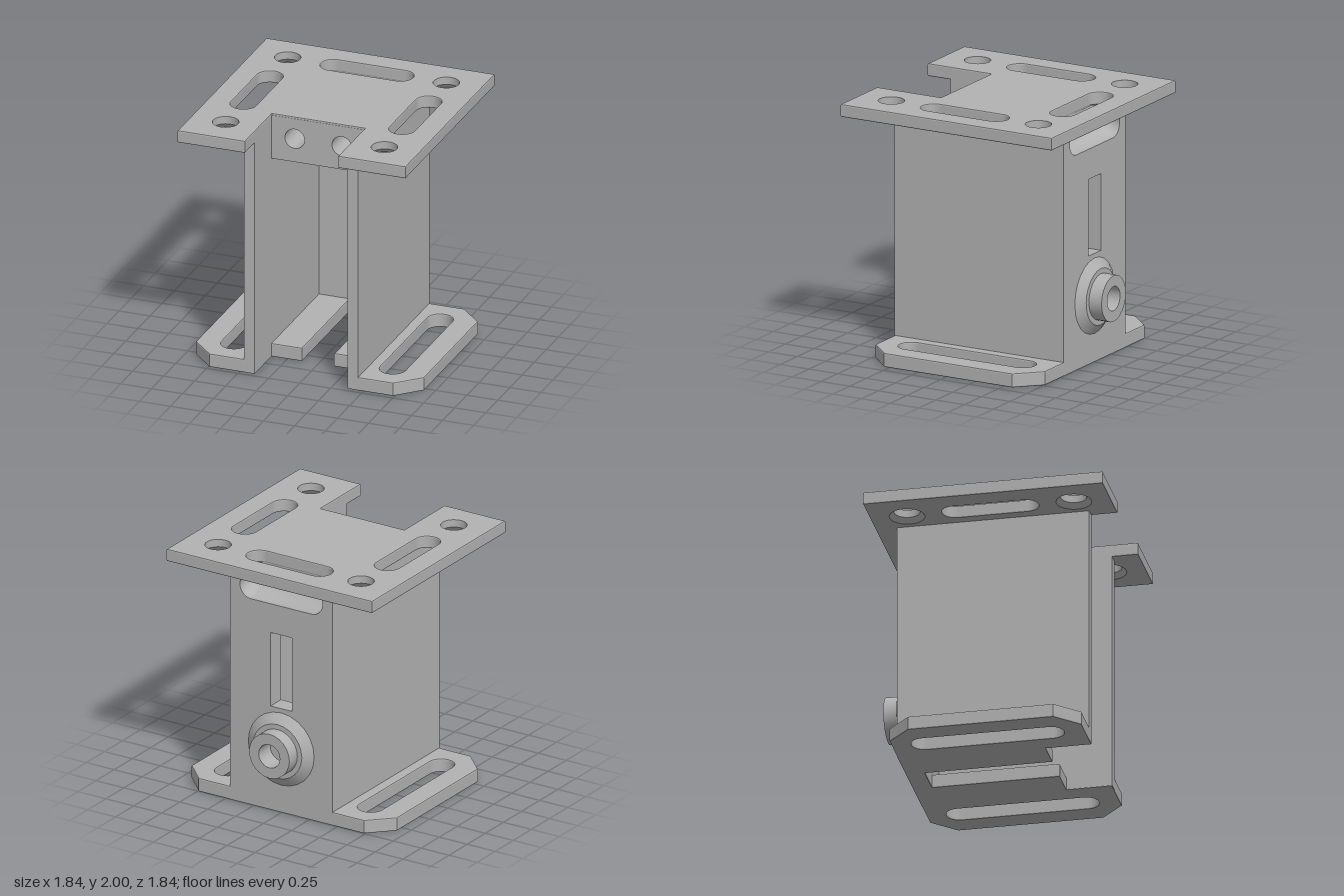
import * as THREE from 'three';
import { toCreasedNormals } from 'three/addons/utils/BufferGeometryUtils.js';
import { ParametricGeometry } from 'three/addons/geometries/ParametricGeometry.js';

const grey = new THREE.MeshStandardMaterial({ color: 0xb2b2b2, side: THREE.DoubleSide });

function add(group, name, geometry) {
  const mesh = new THREE.Mesh(geometry, grey);
  mesh.name = name;
  group.add(mesh);
  return mesh;
}

// Box from its minimum and maximum corners
function box(x0, x1, y0, y1, z0, z1) {
  return new THREE.BoxGeometry(x1 - x0, y1 - y0, z1 - z0)
    .translate((x0 + x1) / 2, (y0 + y1) / 2, (z0 + z1) / 2);
}

const polygon = (pts) => new THREE.Shape(pts.map(([x, y]) => new THREE.Vector2(x, y)));

function circle(x, y, r) {
  return new THREE.Path().absarc(x, y, r, 0, Math.PI * 2, true);
}

// Slot with round ends; hx and hy are its half sizes
function slot(x, y, hx, hy) {
  const r = Math.min(hx, hy), p = new THREE.Path();
  if (hx > hy) {
    p.absarc(x + hx - r, y, r, -Math.PI / 2, Math.PI / 2, false);
    p.absarc(x - hx + r, y, r, Math.PI / 2, Math.PI * 1.5, false);
  } else {
    p.absarc(x, y + hy - r, r, 0, Math.PI, false);
    p.absarc(x, y - hy + r, r, Math.PI, Math.PI * 2, false);
  }
  return p.closePath();
}

// Horizontal plate drawn in x and z, with slightly eased edges
function plate(shape, y0, y1) {
  const b = 0.01;
  return new THREE.ExtrudeGeometry(shape, {
    depth: y1 - y0 - 2 * b, bevelSize: b, bevelThickness: b, bevelOffset: -b, bevelSegments: 2, curveSegments: 12,
  }).rotateX(Math.PI / 2).translate(0, y1 - b, 0);
}

// Upright plate drawn in x and y
function upright(shape, z0, z1) {
  return new THREE.ExtrudeGeometry(shape, { depth: z1 - z0, bevelEnabled: false, curveSegments: 16 })
    .translate(0, 0, z0);
}

export function createModel() {
  const model = new THREE.Group();
  model.name = 'mountingBracket';

  // Top plate with front notch, slots and corner holes
  const top = polygon([[-0.92, -0.92], [0.92, -0.92], [0.92, 0.92], [0.375, 0.92],
    [0.375, 0.365], [-0.375, 0.365], [-0.375, 0.92], [-0.92, 0.92]]);
  top.holes.push(slot(0, -0.64, 0.37, 0.1));
  for (const s of [-1, 1]) {
    top.holes.push(slot(s * 0.64, 0, 0.1, 0.37));
    for (const t of [-1, 1]) top.holes.push(circle(s * 0.64, t * 0.64, 0.135));
  }
  add(model, 'topPlate', plate(top, 1.9, 2));

  // Screw holes, countersunk from below
  const sink = [[0.15, 1.9], [0.135, 1.9], [0.1, 1.94], [0.1, 2], [0.15, 2]].map(([x, y]) => new THREE.Vector2(x, y));
  for (const s of [-1, 1]) for (const t of [-1, 1]) {
    add(model, 'screwHole', toCreasedNormals(new THREE.LatheGeometry(sink, 32), 0.5))
      .position.set(s * 0.64, 0, t * 0.64);
  }

  // Bottom flange and floor tabs in one outline
  const half = [[0.13, -0.61], [0.13, 0.37], [0.375, 0.37], [0.375, 0.72], [0.74, 0.72],
    [0.92, 0.54], [0.92, -0.575], [0.74, -0.755]];
  const base = polygon([...half, ...half.map(([x, z]) => [-x, z]).reverse()]);
  for (const s of [-1, 1]) base.holes.push(slot(s * 0.64, -0.02, 0.1, 0.585));
  add(model, 'bottomFlange', plate(base, 0, 0.11));

  // Side walls
  for (const s of [-1, 1]) {
    add(model, 'sideWall', box(-0.0425, 0.0425, 0.005, 1.91, -0.755, 0.72)).position.x = s * 0.4175;
  }

  // Back wall with window, and a thin outer skin that also holds the tunnel mouth
  const windowHole = () => polygon([[-0.095, 0.85], [0.095, 0.85], [0.095, 1.45], [-0.095, 1.45]]);
  const back = polygon([[-0.38, 0.005], [0.38, 0.005], [0.38, 1.68], [-0.38, 1.68]]);
  back.holes.push(windowHole());
  add(model, 'backWall', upright(back, -0.746, -0.61));
  const skin = polygon([[-0.38, 0.005], [0.38, 0.005], [0.38, 1.905], [-0.38, 1.905]]);
  skin.holes.push(windowHole(), slot(0, 1.785, 0.37, 0.1));
  add(model, 'backSkin', upright(skin, -0.755, -0.746));

  // Curved tunnel from the top slot to the back
  add(model, 'tieTunnel', new ParametricGeometry((u, v, p) => {
    const a = u * Math.PI * 2, t = v * Math.PI / 2;
    const c = Math.cos(a), x = 0.1 * c + 0.27 * Math.sign(Math.abs(c) < 1e-6 ? 1 : c);
    const r = 0.115 + 0.1 * Math.sin(a);
    p.set(x, 1.9 - r * Math.cos(t), -0.755 + r * Math.sin(t));
  }, 40, 12));

  // Upper block with two blind holes in its front
  add(model, 'blockLedge', box(-0.38, 0.38, 1.63, 1.68, -0.746, -0.53));
  add(model, 'blockCore', box(-0.38, 0.38, 1.63, 1.905, -0.535, 0));
  const front = polygon([[-0.376, 1.63], [0.376, 1.63], [0.376, 1.985], [-0.376, 1.985]]);
  for (const s of [-1, 1]) front.holes.push(circle(s * 0.19, 1.82, 0.079));
  add(model, 'blockFront', upright(front, 0, 0.367));

  // Round boss on the back with a blind bore
  const boss = [[0.295, 0], [0.22, 0.055], [0.18, 0.055], [0.18, 0.165], [0.095, 0.165], [0.095, 0.005], [0, 0.005]]
    .map(([x, y]) => new THREE.Vector2(x, y));
  add(model, 'backBoss', toCreasedNormals(new THREE.LatheGeometry(boss, 24), 0.4)
    .rotateX(-Math.PI / 2).translate(0, 0.52, -0.755));

  return model;
}
